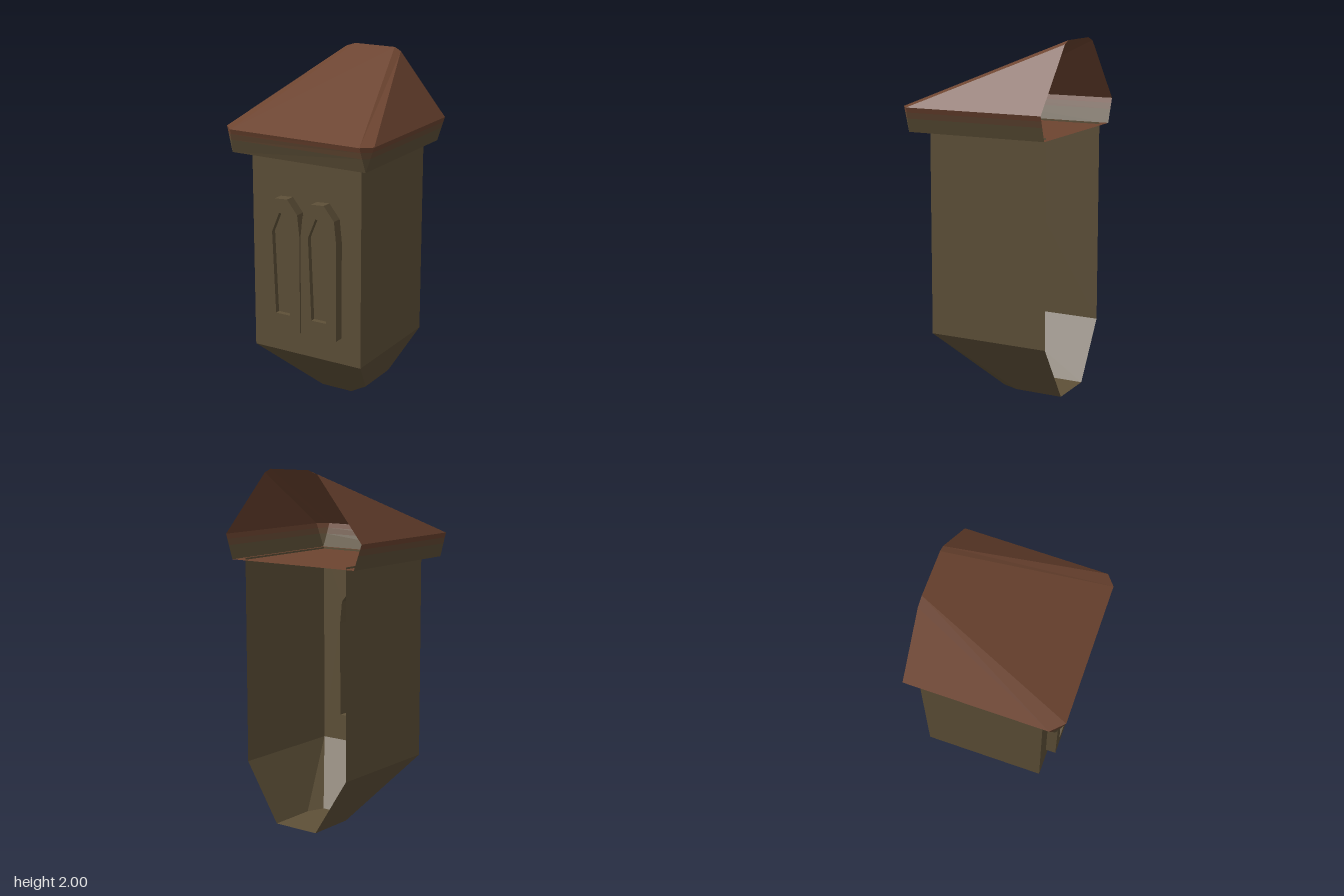
import * as THREE from 'three';

const paint = (name, color) => {
  const m = new THREE.MeshStandardMaterial({ color, side: THREE.DoubleSide });
  m.name = name;
  return m;
};

// Flat polygons, each listed counter-clockwise from outside and split as a fan.
function sheet(name, material, polygons) {
  const pos = [];
  for (const p of polygons)
    for (let i = 1; i < p.length - 1; i++) pos.push(...p[0], ...p[i], ...p[i + 1]);
  const g = new THREE.BufferGeometry();
  g.setAttribute('position', new THREE.Float32BufferAttribute(pos, 3));
  g.computeVertexNormals();
  const mesh = new THREE.Mesh(g, material);
  mesh.name = name;
  return mesh;
}

// Open band of quads between two outlines with the same point count.
const band = (low, high) => low.slice(1).map((b, i) => [low[i], b, high[i + 1], high[i]]);

const vec = (pts, dx = 0) => pts.map(([x, y]) => new THREE.Vector2(x + dx, y));

function plate(name, material, shape, z) {
  const mesh = new THREE.Mesh(new THREE.ShapeGeometry(shape), material);
  mesh.name = name;
  mesh.position.z = z;
  return mesh;
}

// Lancet outlines around x = 0
const outer = [[-0.115, 0.48], [0.112, 0.485], [0.114, 1.05], [0.1, 1.18], [0.035, 1.26],
  [-0.045, 1.255], [-0.1, 1.18], [-0.115, 1.05]];
const inner = [[-0.047, 0.58], [0.047, 0.58], [0.066, 1.06], [0.018, 1.175], [-0.018, 1.175], [-0.066, 1.06]];

export function createModel() {
  const stone = paint('olive stone', 0x5e5038);
  const tile = paint('brown roof tile', 0x6d4430);
  const blend = paint('weathered eave', 0x654a34);
  const model = new THREE.Group();
  model.name = 'bayTurret';

  const W = 0.35, F = 0.3, B = -0.41, Y0 = 0.33, Y1 = 1.5;
  const windows = [-0.12, 0.115];

  // Side walls, open at the back
  for (const s of [-1, 1])
    model.add(sheet(s > 0 ? 'leftWall' : 'rightWall', stone, [
      s > 0 ? [[W, Y0, F], [W, Y0, B], [W, Y1, B], [W, Y1, F]]
            : [[-W, Y0, B], [-W, Y0, F], [-W, Y1, F], [-W, Y1, B]]]));

  // Front wall with two window openings
  const wall = new THREE.Shape(vec([[-W, Y0], [W, Y0], [W, Y1], [-W, Y1]]));
  for (const x of windows) wall.holes.push(new THREE.Path(vec(outer, x)));
  model.add(plate('frontWall', stone, wall, F));

  // Raised window frames with recessed panes
  for (const x of windows) {
    const win = new THREE.Group();
    win.name = 'archedWindow';
    const face = new THREE.Shape(vec(outer, x));
    face.holes.push(new THREE.Path(vec(inner, x)));
    const at = (pts, z) => [...pts, pts[0]].map(([px, py]) => [px + x, py, z]);
    win.add(
      plate('frameFace', stone, face, 0.36),
      sheet('frameSides', stone, band(at(outer, F), at(outer, 0.36))),
      sheet('recessSides', stone, band(at(inner, 0.36), at(inner, 0.33))),
      plate('pane', stone, new THREE.Shape(vec(inner, x)), 0.33));
    model.add(win);
  }

  // Tapered base with clipped front corners
  const base = [[0.14, 0, B], [0.14, 0, -0.13], [0.1, 0, -0.03],
    [-0.1, 0, -0.03], [-0.14, 0, -0.13], [-0.14, 0, B]];
  const [a, b, c, d, e, f] = base;
  const wl = [W, Y0, F], wr = [-W, Y0, F];
  model.add(sheet('taperedBase', stone, [
    [c, wl, wr, d],
    [c, b, wl], [b, a, [W, Y0, B], wl],
    [wr, e, d], [wr, [-W, Y0, B], f, e],
    [a, b, c, d, e, f]]));

  // Eave: clipped corners at the top, narrowing to square corners below
  const R = -0.435, E = 1.63;
  const top = [[-0.47, E, R], [-0.47, E, 0.367], [-0.4, E, 0.437],
    [0.41, E, 0.43], [0.47, E, 0.38], [0.47, E, R]];
  const bottom = [[-0.42, 1.49, R], [-0.42, 1.49, 0.39], [-0.42, 1.49, 0.39],
    [0.425, 1.49, 0.39], [0.425, 1.49, 0.39], [0.425, 1.49, R]];
  const level = t => bottom.map((p, i) => p.map((v, k) => v + (top[i][k] - v) * t));
  model.add(
    sheet('eaveLower', stone, band(bottom, level(0.55))),
    sheet('eaveMiddle', blend, band(level(0.55), level(0.8))),
    sheet('eaveUpper', tile, band(level(0.8), top)),
    sheet('roofUnderside', tile, [[bottom[0], bottom[5], bottom[3], bottom[1]]]));

  // Lean-to roof, open at the back
  const rl = [-0.18, 1.98, R], ml = [-0.12, 2, R], mr = [0.14, 2, R], rr = [0.18, 1.98, R];
  model.add(sheet('roof', tile, [
    [top[2], top[3], mr, ml],
    [top[1], top[2], ml, rl],
    [top[3], top[4], rr, mr],
    [top[0], top[1], rl],
    [top[4], top[5], rr]]));

  return model;
}
